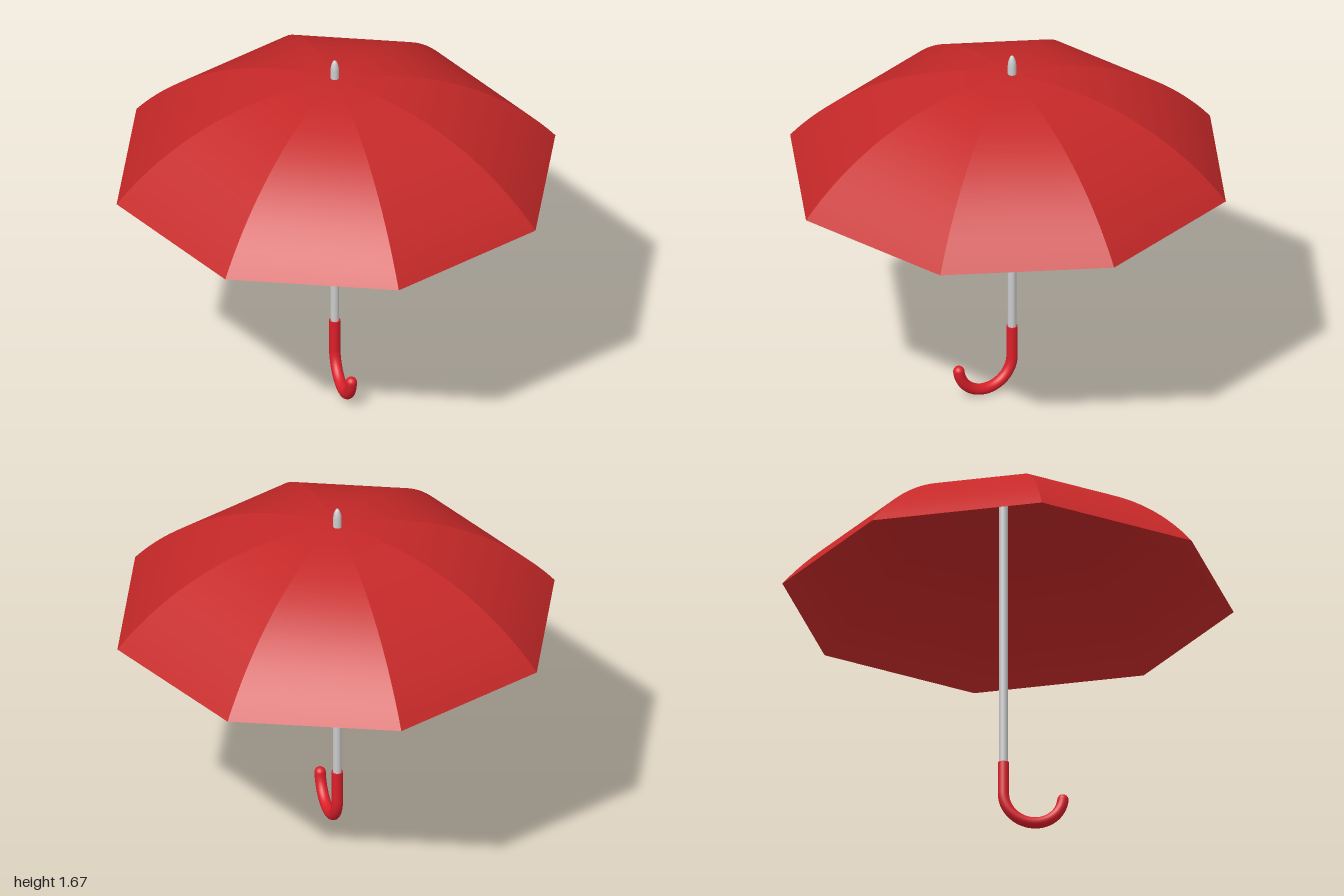
import * as THREE from 'three';

const POLE_Z = -0.02;

export function createModel() {
  const umbrella = new THREE.Group();
  umbrella.name = 'umbrella';

  const grey = new THREE.MeshStandardMaterial({ color: 0xcccccc });
  const cloth = new THREE.MeshStandardMaterial({ color: 0xc62828, side: THREE.DoubleSide });
  const gripRed = new THREE.MeshStandardMaterial({ color: 0xdc1f2a });

  const add = (parent, name, geometry, material, x = 0, y = 0, z = 0) => {
    const mesh = new THREE.Mesh(geometry, material);
    mesh.name = name;
    mesh.position.set(x, y, z);
    parent.add(mesh);
    return mesh;
  };

  // Canopy: eight panels following a circular arc, creased at each rib
  const rimY = 1.105, topY = 1.575, rise = topY - rimY;
  const arcRadius = (1 + rise * rise) / (2 * rise);
  const rimAngle = Math.asin(1 / arcRadius);
  const steps = 24;
  const profile = [];
  for (let i = 0; i <= steps; i++) {
    const a = rimAngle * (1 - i / steps);
    profile.push(new THREE.Vector2(arcRadius * Math.sin(a), topY - arcRadius * (1 - Math.cos(a))));
  }
  const canopy = new THREE.Group();
  canopy.name = 'canopy';
  umbrella.add(canopy);
  for (let i = 0; i < 8; i++) {
    const panel = new THREE.LatheGeometry(profile, 1, i * Math.PI / 4, Math.PI / 4);
    panel.computeVertexNormals();
    add(canopy, 'canopyPanel' + (i + 1), panel, cloth);
  }

  // Pole running from inside the grip to the top of the canopy
  const poleBottom = 0.28, poleRadius = 0.019;
  add(umbrella, 'pole', new THREE.CylinderGeometry(poleRadius, poleRadius, topY - poleBottom, 24),
    grey, 0, (topY + poleBottom) / 2, POLE_Z);

  // Rounded tip above the canopy
  const tip = [[0.019, 1.56], [0.019, 1.615], [0.017, 1.635], [0.012, 1.652], [0.006, 1.663], [0, 1.666]]
    .map(([r, y]) => new THREE.Vector2(r, y));
  add(umbrella, 'tip', new THREE.LatheGeometry(tip, 24), grey, 0, 0, POLE_Z);

  // Curved handle: straight grip, then a half-circle hook to the front
  const gripRadius = 0.025, bend = 0.132, bendY = gripRadius + bend, gripTop = 0.305;
  const path = new THREE.CurvePath();
  path.add(new THREE.LineCurve3(new THREE.Vector3(0, gripTop, POLE_Z), new THREE.Vector3(0, bendY, POLE_Z)));
  class HookArc extends THREE.Curve {
    getPoint(t, target = new THREE.Vector3()) {
      const a = t * Math.PI * 0.97;
      return target.set(0, bendY - bend * Math.sin(a), POLE_Z + bend * (1 - Math.cos(a)));
    }
  }
  path.add(new HookArc());
  const handle = new THREE.Group();
  handle.name = 'handle';
  umbrella.add(handle);
  add(handle, 'hook', new THREE.TubeGeometry(path, 64, gripRadius, 20), gripRed);
  const end = path.getPoint(1);
  add(handle, 'hookEnd', new THREE.SphereGeometry(gripRadius, 20, 14), gripRed, end.x, end.y, end.z);
  const cap = add(handle, 'gripTop', new THREE.CircleGeometry(gripRadius, 20), gripRed, 0, gripTop, POLE_Z);
  cap.rotation.x = -Math.PI / 2;

  return umbrella;
}
